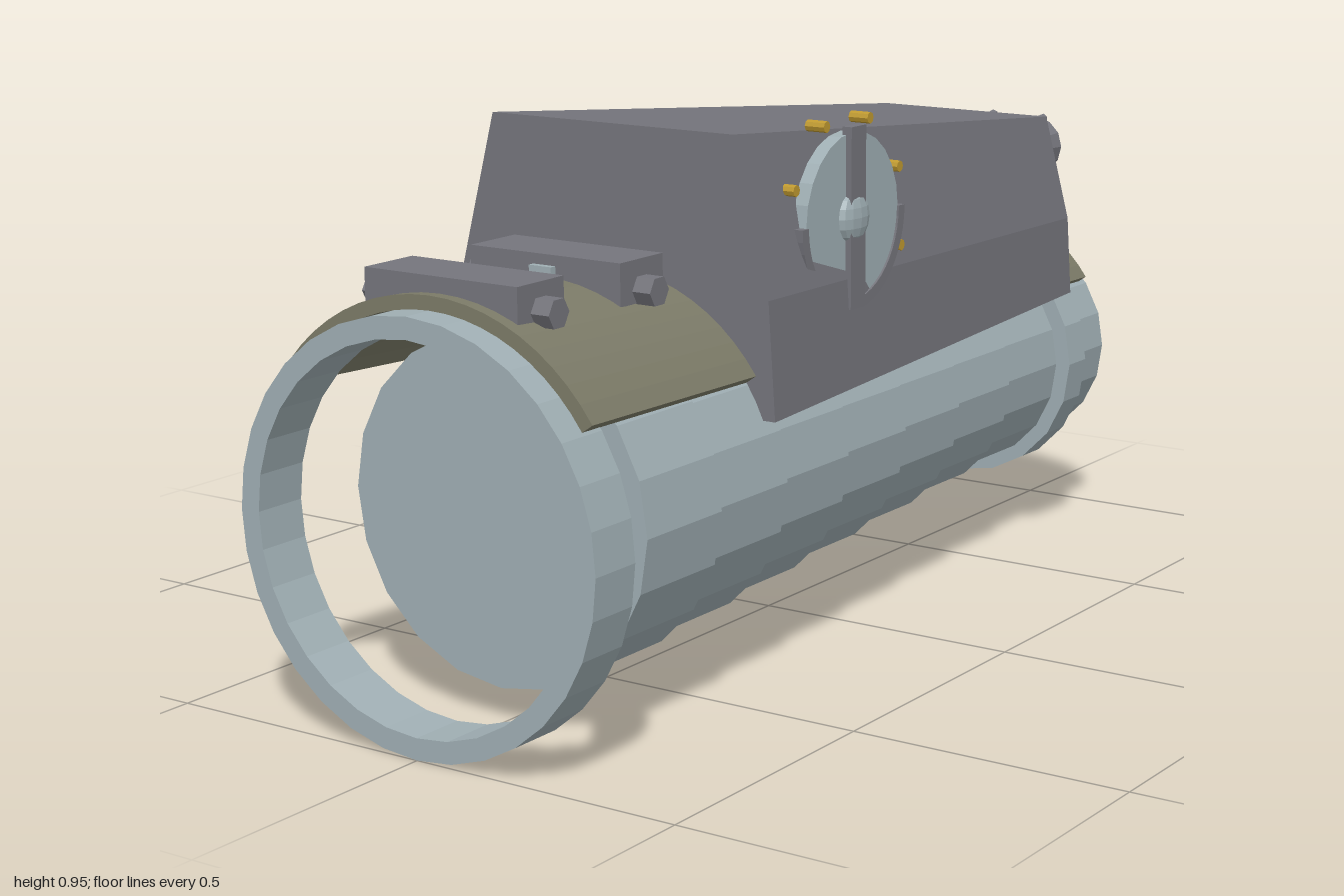
import * as THREE from 'three';

const mat = (name, color) => new THREE.MeshStandardMaterial({ name, color, flatShading: true });

export function createModel() {
  const grey = mat('housing grey', 0x75757c);
  const pale = mat('pale steel', 0xa0afb4);
  const olive = mat('olive grey', 0x7c7b68);
  const gold = mat('gold', 0xc09a30);
  const model = new THREE.Group();
  const AXIS = 0.36;

  const add = (name, geometry, material, x = 0, y = 0, z = 0, parent = model) => {
    const mesh = new THREE.Mesh(geometry, material);
    mesh.name = name;
    mesh.position.set(x, y, z);
    parent.add(mesh);
    return mesh;
  };
  const box = (w, h, d) => new THREE.BoxGeometry(w, h, d);
  const cylZ = (r, len, sides = 20) => new THREE.CylinderGeometry(r, r, len, sides).rotateX(Math.PI / 2);
  const cylX = (r, len, sides = 20) => new THREE.CylinderGeometry(r, r, len, sides).rotateZ(-Math.PI / 2);
  // Closed ring about the z axis
  const ringZ = (inner, outer, len, sides = 32) => new THREE.LatheGeometry(
    [[inner, -len / 2], [outer, -len / 2], [outer, len / 2], [inner, len / 2], [inner, -len / 2]]
      .map(([a, b]) => new THREE.Vector2(a, b)), sides).rotateX(Math.PI / 2);
  // Extrude a front outline backwards, shrinking towards the rear
  const taperedExtrude = (shape, front, rear, scale, frontY, rearY, curveSegments) => {
    const depth = front - rear;
    const g = new THREE.ExtrudeGeometry(shape, { depth, bevelEnabled: false, curveSegments });
    const p = g.attributes.position;
    for (let i = 0; i < p.count; i++) {
      const t = 1 - p.getZ(i) / depth;
      const s = 1 + (scale - 1) * t;
      const base = frontY + (rearY - frontY) * t;
      p.setXYZ(i, p.getX(i) * s, base + (p.getY(i) - frontY) * s, p.getZ(i) + rear);
    }
    g.computeVertexNormals();
    return g;
  };
  const rodBetween = (a, b, r0, r1) => {
    const from = new THREE.Vector3(...a), to = new THREE.Vector3(...b);
    const dir = to.clone().sub(from);
    const g = new THREE.CylinderGeometry(r1, r0, dir.length(), 6);
    g.applyQuaternion(new THREE.Quaternion().setFromUnitVectors(new THREE.Vector3(0, 1, 0), dir.normalize()));
    const mid = from.add(to).multiplyScalar(0.5);
    return g.translate(mid.x, mid.y, mid.z);
  };

  // Front ring and the row of shrinking drums behind it
  add('frontRing', ringZ(0.321, 0.358, 0.1), pale, 0, AXIS, 0.95);
  for (let i = 0; i < 7; i++) {
    add('drum' + (i + 1), cylZ(0.298 - i * 0.013, 0.204), pale, 0, AXIS, 0.684 - i * 0.2125);
  }
  add('rearCollar', cylZ(0.246, 0.066), pale, 0, AXIS, -0.733);
  add('rearDrum', cylZ(0.211, 0.14), pale, 0, AXIS, -0.835);

  // Curved saddle lying over the drums
  const half = 0.965;
  const saddle = new THREE.Shape();
  saddle.absarc(0, AXIS, 0.382, Math.PI / 2 - half, Math.PI / 2 + half, false);
  saddle.absarc(0, AXIS, 0.358, Math.PI / 2 + half, Math.PI / 2 - half, true);
  saddle.closePath();
  add('saddle', taperedExtrude(saddle, 0.945, -0.78, 0.75, AXIS, AXIS, 10), olive);

  // Tapered housing with an arched underside
  const arch = 0.333, foot = 0.49;
  const a0 = Math.asin((foot - AXIS) / arch);
  const outline = new THREE.Shape();
  outline.moveTo(0.33, foot);
  outline.lineTo(0.317, 0.69);
  outline.lineTo(0.247, 0.956);
  outline.lineTo(-0.247, 0.956);
  outline.lineTo(-0.317, 0.69);
  outline.lineTo(-0.33, foot);
  outline.absarc(0, AXIS, arch, Math.PI - a0, a0, true);
  outline.closePath();
  add('housing', taperedExtrude(outline, 0.475, -0.703, 0.735, foot, 0.505, 12), grey);

  // Two cross blocks with hexagonal end pegs
  for (const [z, y, h] of [[0.86, 0.735, 0.064], [0.597, 0.727, 0.072]]) {
    const block = new THREE.Group();
    block.name = 'crossBlock';
    block.position.set(0, y, z);
    model.add(block);
    add('blockBody', box(0.306, h, 0.116), grey, 0, 0, 0, block);
    for (const side of [-1, 1]) add('blockPeg', cylX(0.026, 0.05, 6), grey, side * 0.163, -0.015, 0, block);
  }
  add('blockTab', box(0.045, 0.02, 0.02), pale, 0, 0.735, 0.657);

  // Dial on the left wall: rim, disc, handle bar and hub
  const dial = new THREE.Group();
  dial.name = 'dial';
  dial.position.set(0, 0.785, 0.183);
  model.add(dial);
  const rim = new THREE.Shape();
  rim.absarc(0, 0, 0.162, Math.PI, Math.PI * 2, false);
  rim.absarc(0, 0, 0.143, Math.PI * 2, Math.PI, true);
  add('dialRim', new THREE.ExtrudeGeometry(rim, { depth: 0.03, bevelEnabled: false, curveSegments: 12 })
    .rotateY(Math.PI / 2), grey, 0.268, 0, 0, dial);
  add('dialDisc', cylX(0.145, 0.026, 24), pale, 0.281, 0, 0, dial);
  add('dialBar', box(0.018, 0.312, 0.046), grey, 0.296, 0, 0, dial);
  add('dialHub', new THREE.SphereGeometry(0.045, 12, 8).scale(0.4, 1, 1), pale, 0.294, 0, 0, dial);

  // Gold marker pegs round the dial
  for (const [z, y, x] of [[0.25, 0.945, 0.265], [0.113, 0.945, 0.265], [0.345, 0.85, 0.267],
    [0.018, 0.85, 0.267], [0.018, 0.712, 0.272]]) {
    add('markerPeg', cylX(0.01, 0.038, 8), gold, x, y, z);
  }

  // Rear connector with prongs and a flared cone
  const cy = 0.742;
  add('connectorBase', cylZ(0.035, 0.08, 10), grey, 0, cy, -0.735);
  add('connectorCollar', ringZ(0.042, 0.06, 0.035, 12), grey, 0, cy, -0.765);
  add('connectorPlate', cylZ(0.056, 0.012, 12), grey, 0, cy, -0.76);
  add('connectorCone', new THREE.CylinderGeometry(0.057, 0.008, 0.235, 12).rotateX(-Math.PI / 2),
    grey, 0, cy, -0.8825);
  for (const s of [-1, 1]) {
    add('upperProng', rodBetween([s * 0.035, 0.785, -0.7], [s * 0.058, 0.81, -0.92], 0.012, 0.01), grey);
  }
  add('lowerProng', rodBetween([0, 0.69, -0.7], [0, 0.694, -0.85], 0.012, 0.01), grey);
  return model;
}
